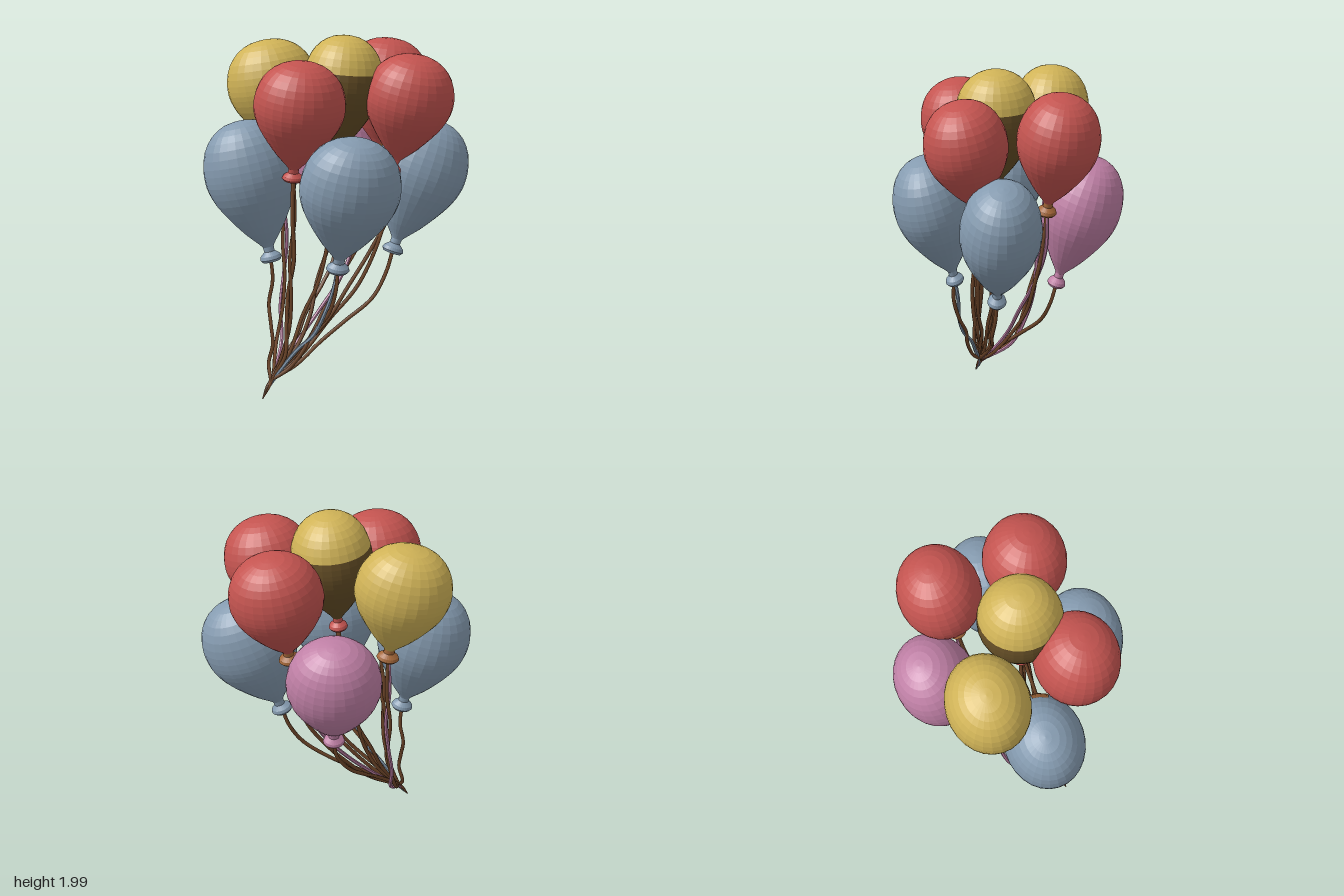
import * as THREE from 'three';

const mat = (name, color, flatShading = true) =>
  Object.assign(new THREE.MeshStandardMaterial({ color, flatShading }), { name });

// Balloon outline: [radius, height], both as fractions of full size
const lip = [[0, 0.02], [0.2, 0], [0.24, 0.018], [0.215, 0.042], [0.115, 0.07], [0.12, 0.105]];
const body = [[0.12, 0.105], [0.2, 0.14], [0.41, 0.22], [0.665, 0.34], [0.875, 0.46], [0.975, 0.56],
  [1, 0.635], [0.972, 0.73], [0.855, 0.84], [0.635, 0.93], [0.335, 0.984], [0, 1]];
const toPoints = list => list.map(([r, y]) => new THREE.Vector2(r, y));
const lipPoints = toPoints(lip);
const bodyPoints = new THREE.SplineCurve(toPoints(body)).getPoints(22);
bodyPoints.forEach(p => { p.x = Math.max(0, p.x); });

// Strings bundle at GATHER and end together at TIP
const GATHER = new THREE.Vector3(-0.395, 0.09, 0.2);
const TIP = new THREE.Vector3(-0.44, 0.01, 0.23);
// How far each string keeps toward its balloon (share) at each height above GATHER
const SAG = [[1, 1], [0.8, 0.95], [0.61, 0.81], [0.44, 0.62], [0.29, 0.42], [0.14, 0.2], [0, 0]];

export function createModel() {
  const blue = mat('dusty blue', 0x859bb0);
  const red = mat('red', 0xc45450);
  const yellow = mat('yellow', 0xd0b357);
  const pink = mat('pink', 0xc080a6);
  const brown = mat('string brown', 0x70472a, false);
  const umber = mat('dark umber', 0x654e26);
  const orange = mat('orange brown', 0xa5683a);
  const model = new THREE.Group();
  model.name = 'balloonBunch';

  // Each balloon: opening, widest point, length, radii, colours, strings, string bend
  const balloons = [
    { name: 'leftLow', knot: [-0.37, 0.765, 0.08], mid: [-0.48, 1.28, 0.04], len: 0.795, rx: 0.252, rz: 0.213, skin: blue, patch: orange, strings: [brown], bend: 0.6 },
    { name: 'frontLow', knot: [-0.03, 0.76, 0.30], mid: [0.028, 1.25, 0.41], len: 0.775, rx: 0.266, rz: 0.218, skin: blue, strings: [blue, brown], bend: 1 },
    { name: 'rightLow', knot: [0.305, 0.78, 0.04], mid: [0.485, 1.28, 0.002], len: 0.783, rx: 0.254, rz: 0.214, skin: blue, strings: [brown], bend: 1 },
    { name: 'backLow', knot: [0.02, 0.78, -0.268], mid: [0.022, 1.27, -0.41], len: 0.773, rx: 0.25, rz: 0.216, skin: pink, strings: [brown], bend: 1.15 },
    { name: 'backLeftHigh', knot: [-0.265, 1.265, -0.19], mid: [-0.335, 1.70, -0.217], len: 0.69, rx: 0.252, rz: 0.213, skin: yellow, neck: orange, strings: [brown, pink], bend: 0.45 },
    { name: 'middleHigh', knot: [-0.01, 1.31, 0.06], mid: [0.027, 1.75, 0.062], len: 0.69, rx: 0.216, rz: 0.22, skin: yellow, neck: red, under: umber, strings: [brown, brown], bend: 0.75 },
    { name: 'frontLeftHigh', knot: [-0.26, 1.25, 0.22], mid: [-0.224, 1.66, 0.28], len: 0.65, rx: 0.24, rz: 0.22, skin: red, strings: [brown, brown], bend: 0.4 },
    { name: 'frontRightHigh', knot: [0.30, 1.27, 0.13], mid: [0.365, 1.67, 0.19], len: 0.65, rx: 0.238, rz: 0.218, skin: red, strings: [brown, brown], bend: 0.95 },
    { name: 'backRightHigh', knot: [0.25, 1.28, -0.22], mid: [0.31, 1.70, -0.28], len: 0.67, rx: 0.243, rz: 0.216, skin: red, neck: orange, strings: [pink, brown], bend: 0.9 },
  ];

  const lathe = (name, points, material, parent, start = 0, sweep = Math.PI * 2) => {
    const segments = Math.ceil(28 * sweep / (Math.PI * 2));
    const mesh = new THREE.Mesh(new THREE.LatheGeometry(points, segments, start, sweep), material);
    mesh.name = name;
    parent.add(mesh);
  };

  // Wavy string from a balloon's opening through the bundle to the tip
  const addString = (name, start, bend, phase, material) => {
    const path = SAG.map(([h, share], k) => {
      const p = Math.pow(share, bend);
      const size = k > 0 && k < 6 ? 0.012 : 0;
      return new THREE.Vector3(
        THREE.MathUtils.lerp(GATHER.x, start.x, p) + size * Math.sin(k * 2.1 + phase),
        THREE.MathUtils.lerp(GATHER.y, start.y, h),
        THREE.MathUtils.lerp(GATHER.z, start.z, p) + size * Math.cos(k * 1.8 + phase));
    });
    // Spread the strings a little where they bundle
    path[6].x += 0.008 * Math.sin(phase);
    path[6].z += 0.008 * Math.cos(phase);
    path.push(TIP);
    const curve = new THREE.CatmullRomCurve3(path);
    const rows = 48, sides = 6;
    const tube = new THREE.TubeGeometry(curve, rows, 0.011, sides);
    // Taper the last stretch to a point
    const pos = tube.attributes.position, v = new THREE.Vector3();
    for (let n = 0; n < pos.count; n++) {
      const t = Math.floor(n / (sides + 1)) / rows;
      const c = curve.getPointAt(t);
      v.fromBufferAttribute(pos, n).sub(c).multiplyScalar(Math.min(1, 0.25 + (1 - t) * 4)).add(c);
      pos.setXYZ(n, v.x, v.y, v.z);
    }
    const string = new THREE.Mesh(tube, material);
    string.name = name;
    model.add(string);
  };

  balloons.forEach((b, i) => {
    const knot = new THREE.Vector3(...b.knot);
    const axis = new THREE.Vector3(...b.mid).sub(knot).normalize();

    // Balloon, leaning along its own axis
    const balloon = new THREE.Group();
    balloon.name = b.name + 'Balloon';
    balloon.position.copy(knot);
    balloon.quaternion.setFromUnitVectors(new THREE.Vector3(0, 1, 0), axis);
    balloon.scale.set(b.rx, b.len, b.rz);
    lathe('neck', lipPoints, b.neck || b.skin, balloon);
    if (b.under) {
      const cut = bodyPoints.findIndex(p => p.y > 0.69);
      lathe('lowerSkin', bodyPoints.slice(0, cut + 1), b.under, balloon);
      lathe('upperSkin', bodyPoints.slice(cut), b.skin, balloon);
    } else {
      lathe('skin', bodyPoints, b.skin, balloon);
    }
    // Tinted patch on the inner flank
    if (b.patch) {
      const strip = bodyPoints.filter(p => p.y > 0.6 && p.y < 0.88)
        .map(p => new THREE.Vector2(p.x + 0.015, p.y));
      lathe('innerPatch', strip, b.patch, balloon, Math.PI * 2.5 / 7, Math.PI / 7);
    }
    model.add(balloon);

    const start = knot.clone().addScaledVector(axis, 0.03);
    b.strings.forEach((material, k) =>
      addString(`${b.name}String${k + 1}`, start, b.bend * (1 - 0.15 * k), i * 1.7 + k * 2.6, material));
  });

  return model;
}
